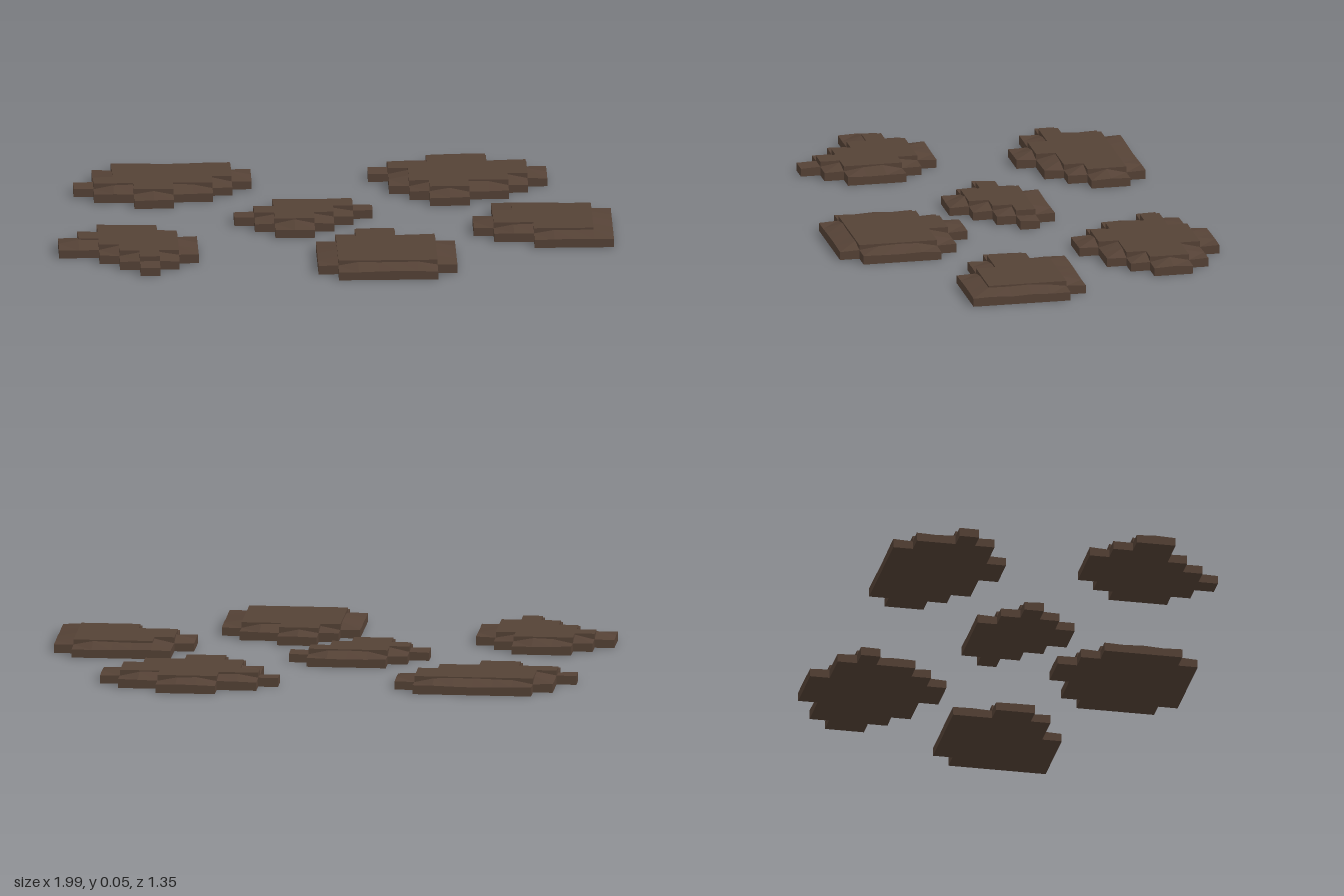
import * as THREE from 'three';

const CELL = 0.0712;
const BOTTOM = 0.006, EDGE = 0.037, SHOULDER = 0.051, TOP = 0.057;

// Stepped outline of each patch: x and z of its back right corner, then rows running forward
const PATCHES = [
  { name: 'backRightPatch', x: -0.925, z: -0.605, rows: [
    '..oooooo.', '.oooooooo', '.oooooooo', 'oooooooo.', '.oooooo..', '...oo....'] },
  { name: 'backLeftPatch', x: 0.136, z: -0.675, rows: [
    '...ooo...', '.ooooooo.', 'ooooooooo', '.oooooooo', '.ooooooo.', '..ooooo..', '...oo....'] },
  { name: 'middlePatch', x: -0.36, z: -0.18, rows: [
    '..oooo.', '.oooooo', 'oooooo.', '.oooo..', '..oo...'] },
  { name: 'leftPatch', x: 0.494, z: -0.107, rows: [
    '.ooooo.', '.oooooo', 'ooooooo', 'ooooooo', '.oooooo', '...oooo'] },
  { name: 'frontRightPatch', x: -1, z: 0.099, rows: [
    '..ooo..', '.ooooo.', 'ooooooo', 'ooooooo', '..ooooo', '...ooo.', '....o..'] },
  { name: 'frontLeftPatch', x: -0.077, z: 0.172, rows: [
    '..oo...', '.ooooo.', 'ooooooo', 'ooooooo', 'ooooooo', 'ooooooo', '.ooooo.'] },
];

// Closed slab over the cells where filled(c, r) is true, with a top height per corner
function slab(patch, filled, bottom, topAt) {
  const pos = [];
  const quad = (a, b, c, d) => [a, b, c, a, c, d].forEach(v => pos.push(...v));
  const at = (c, r, y) => [patch.x + c * CELL, y, patch.z + r * CELL];
  const up = (c, r) => at(c, r, topAt(c, r));
  const down = (c, r) => at(c, r, bottom);
  patch.rows.forEach((row, r) => {
    for (let c = 0; c < row.length; c++) {
      if (!filled(c, r)) continue;
      quad(up(c, r), up(c, r + 1), up(c + 1, r + 1), up(c + 1, r));
      quad(down(c, r), down(c + 1, r), down(c + 1, r + 1), down(c, r + 1));
      // Walls only where the neighbouring cell is empty
      const wall = (c0, r0, c1, r1) =>
        quad(down(c0, r0), down(c1, r1), up(c1, r1), up(c0, r0));
      if (!filled(c, r + 1)) wall(c, r + 1, c + 1, r + 1);
      if (!filled(c, r - 1)) wall(c + 1, r, c, r);
      if (!filled(c + 1, r)) wall(c + 1, r + 1, c + 1, r);
      if (!filled(c - 1, r)) wall(c, r, c, r + 1);
    }
  });
  const geo = new THREE.BufferGeometry();
  geo.setAttribute('position', new THREE.Float32BufferAttribute(pos, 3));
  geo.computeVertexNormals();
  return geo;
}

export function createModel() {
  const model = new THREE.Group();
  model.name = 'groundPatches';
  const soil = new THREE.MeshStandardMaterial({ color: 0x554236 });
  soil.name = 'dark brown soil';

  for (const patch of PATCHES) {
    const group = new THREE.Group();
    group.name = patch.name;
    const filled = (c, r) => patch.rows[r]?.[c] === 'o';
    const inner = (c, r) => filled(c, r) && filled(c - 1, r) && filled(c + 1, r)
      && filled(c, r - 1) && filled(c, r + 1);

    // Rim slopes down towards the stepped outline, slightly uneven
    const rimTop = (c, r) => {
      const enclosed = filled(c, r) && filled(c - 1, r) && filled(c, r - 1) && filled(c - 1, r - 1);
      const uneven = 0.002 * Math.sin(c * 5.1 + r * 3.7 + patch.x * 9);
      return (enclosed ? SHOULDER : EDGE) + uneven;
    };
    const rim = new THREE.Mesh(slab(patch, filled, BOTTOM, rimTop), soil);
    rim.name = 'slopedRim';

    // Flat raised middle
    const core = new THREE.Mesh(slab(patch, inner, 0.03, () => TOP), soil);
    core.name = 'raisedTop';
    group.add(rim, core);
    model.add(group);
  }
  return model;
}
